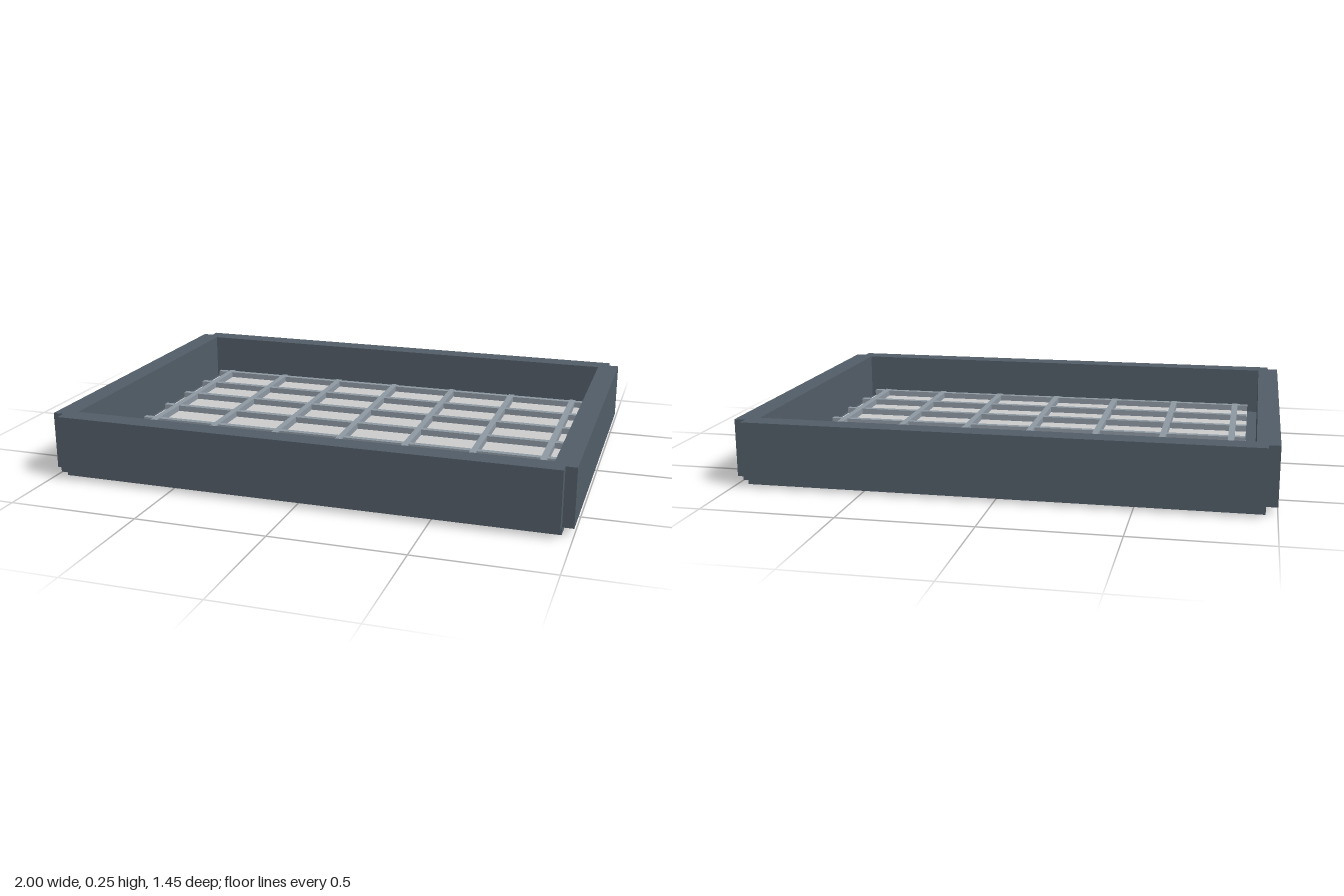
import * as THREE from 'three';

export function createModel() {
  const model = new THREE.Group();
  const slate = new THREE.MeshStandardMaterial({ color: 0x525d67 });
  const steel = new THREE.MeshStandardMaterial({ color: 0x8e98a2 });
  const grey = new THREE.MeshStandardMaterial({ color: 0xcccccc });

  // Box placed by its centre in x and z and by its bottom in y
  function box(parent, name, material, [w, h, d], [x, bottom, z]) {
    const mesh = new THREE.Mesh(new THREE.BoxGeometry(w, h, d), material);
    mesh.name = name;
    mesh.position.set(x, bottom + h / 2, z);
    parent.add(mesh);
  }

  // Tray floor and the pale panel lying on it
  const baseW = 1.917, baseD = 1.367, baseH = 0.058;
  const panelW = 1.75, panelD = 1.2, panelTop = 0.078;
  box(model, 'base', slate, [baseW, baseH, baseD], [0, 0, 0]);
  box(model, 'panel', grey, [panelW, panelTop - baseH, panelD], [0, baseH, 0]);

  // Four walls centred on the base edges, leaving notched corners
  const wall = 0.083, wallBottom = 0.029, wallH = 0.221;
  for (const s of [1, -1]) {
    box(model, s > 0 ? 'frontWall' : 'backWall', slate,
      [baseW, wallH, wall], [0, wallBottom, s * baseD / 2]);
    box(model, s > 0 ? 'leftWall' : 'rightWall', slate,
      [wall, wallH, baseD], [s * baseW / 2, wallBottom, 0]);
  }

  // Lattice of seven bars each way
  const lattice = new THREE.Group();
  lattice.name = 'lattice';
  const bar = 0.025;
  for (let i = -3; i <= 3; i++) {
    box(lattice, 'lengthwiseBar', steel, [panelW, bar - 0.001, bar], [0, panelTop, i * 0.193]);
    box(lattice, 'crosswiseBar', steel, [bar, bar, panelD], [i * 0.273, panelTop, 0]);
  }
  model.add(lattice);

  return model;
}
